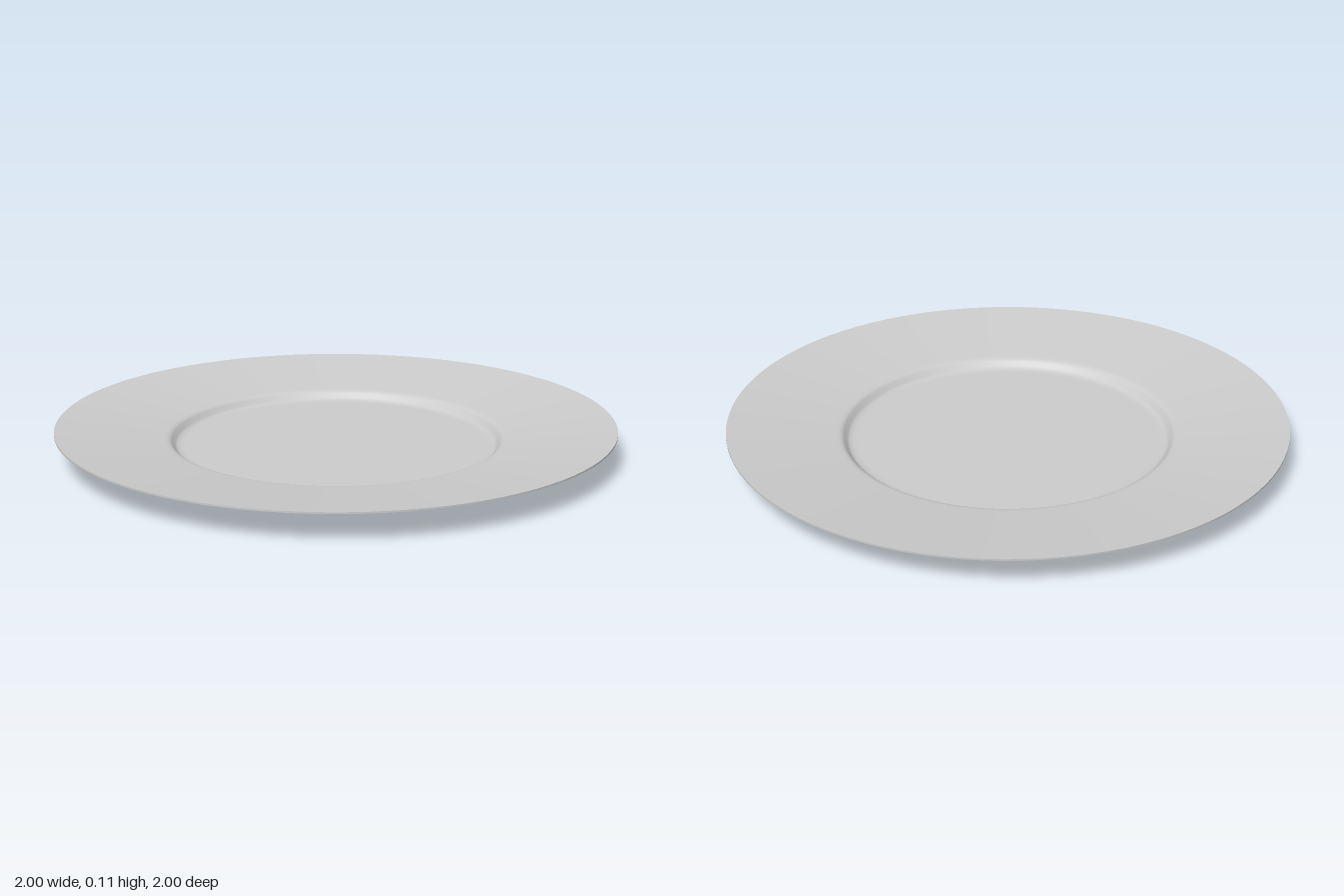
import * as THREE from 'three';

const SEGMENTS = 96;

export function createModel() {
  const group = new THREE.Group();
  group.name = 'plate';
  const ceramic = new THREE.MeshStandardMaterial({ color: 0xcccccc });
  ceramic.name = 'grey ceramic';

  // Each band is smooth in itself; edges between bands stay sharp.
  const band = (name, points) => {
    const profile = points.map(([r, y]) => new THREE.Vector2(r, y));
    const mesh = new THREE.Mesh(new THREE.LatheGeometry(profile, SEGMENTS), ceramic);
    mesh.name = name;
    group.add(mesh);
  };

  // Underside, from the centre outwards
  band('baseUnderside', [[0, 0.018], [0.55, 0.018]]);
  band('footInside', [[0.55, 0.018], [0.56, 0]]);
  band('footBottom', [[0.56, 0], [0.575, 0]]);
  band('footOutside', [[0.575, 0], [0.608, 0.048]]);
  band('rimUnderside', [[0.608, 0.048], [1, 0.1]]);
  band('rimEdge', [[1, 0.1], [1, 0.106]]);

  // Upper surface: sloping rim, rounded step down, flat well
  band('upperSurface', [
    [1, 0.106], [0.62, 0.062], [0.605, 0.06], [0.595, 0.057], [0.587, 0.051],
    [0.577, 0.037], [0.569, 0.031], [0.557, 0.028], [0.54, 0.027], [0, 0.027],
  ]);
  return group;
}
